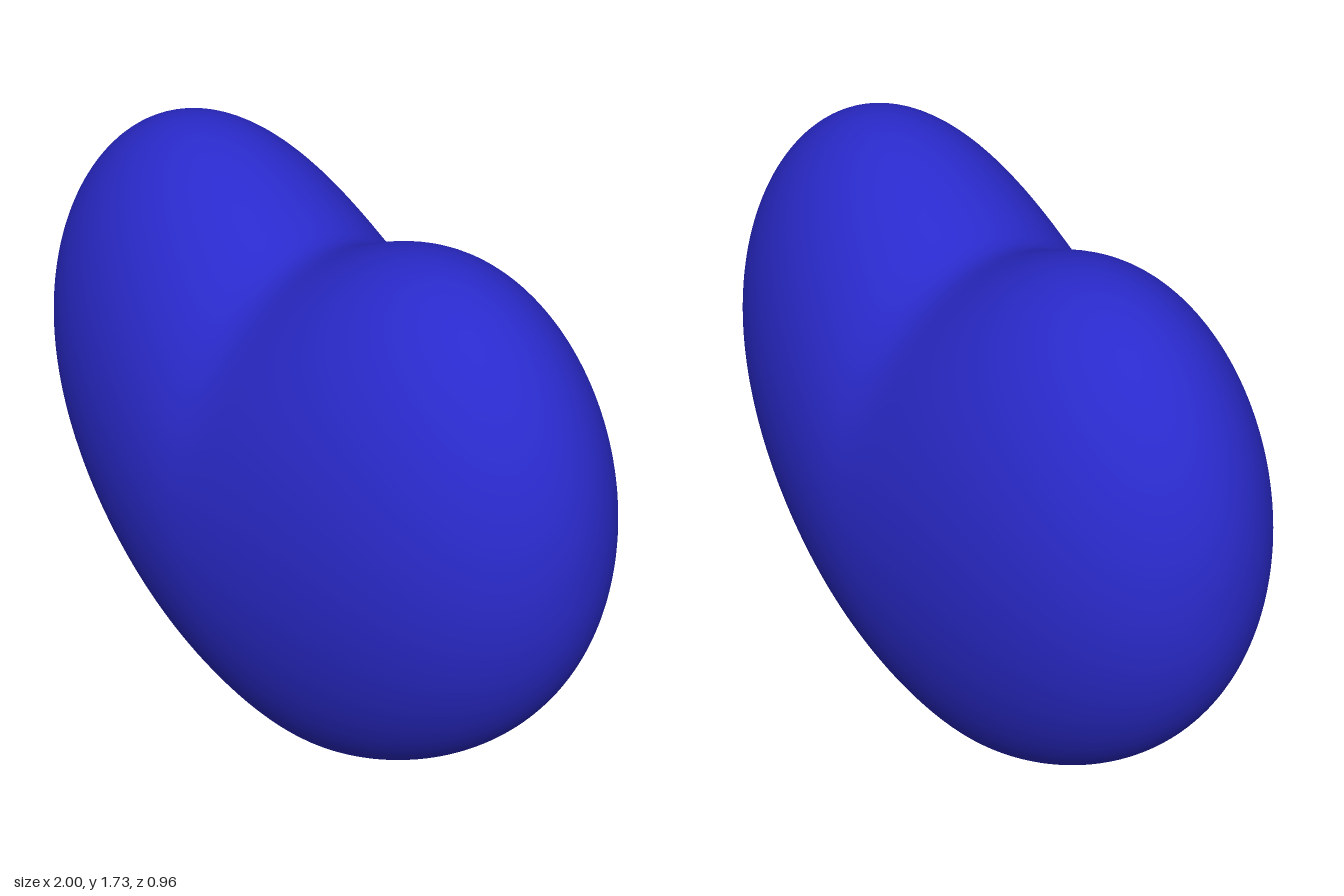
import * as THREE from 'three';
import { mergeVertices } from 'three/addons/utils/BufferGeometryUtils.js';

const HALF_DEPTH = 0.477;

// Rounded |x|: a tight fold at the notch (t = 1), a softer one at the tip (t = -1)
function softAbs(x, t) {
  const radius = 0.12 - 0.04 * t;
  return Math.hypot(x, radius) - radius;
}

// Middle height and half height of the section at x
const middle = (x, t) => 0.787 + 0.635 * softAbs(x, t) - 0.3 * x * x;
const halfHeight = (x, t) => 0.788 + 0.27 * softAbs(x, t) - 0.155 * x * x;

// Fuller towards the sides, thinner towards the tip along the centre line
const fullness = (x) => 1 + 0.13 * x * x;
const taper = (t, x) => 1 + (0.13 * t - 0.12 * t * t) / (1 + 12 * x * x);

export function createModel() {
  const group = new THREE.Group();
  group.name = 'heart';

  // Unit sphere with its poles on the x axis, seam welded for smooth normals
  let geometry = new THREE.SphereGeometry(1, 128, 96).rotateZ(Math.PI / 2);
  geometry.deleteAttribute('uv');
  geometry.deleteAttribute('normal');
  geometry = mergeVertices(geometry, 1e-5);

  // Bend each vertical section into the heart; t runs from -1 (bottom) to 1 (top)
  const p = geometry.attributes.position;
  for (let i = 0; i < p.count; i++) {
    const x = p.getX(i), y = p.getY(i), z = p.getZ(i);
    const t = y / Math.max(Math.hypot(y, z), 1e-6);
    p.setXYZ(i, x, middle(x, t) + halfHeight(x, t) * y, HALF_DEPTH * z * fullness(x) * taper(t, x));
  }
  geometry.computeVertexNormals();
  geometry.computeBoundingBox();
  geometry.translate(0, -geometry.boundingBox.min.y, 0);

  const body = new THREE.Mesh(geometry, new THREE.MeshStandardMaterial({ color: 0x2a2acc }));
  body.name = 'heartBody';
  group.add(body);
  return group;
}
